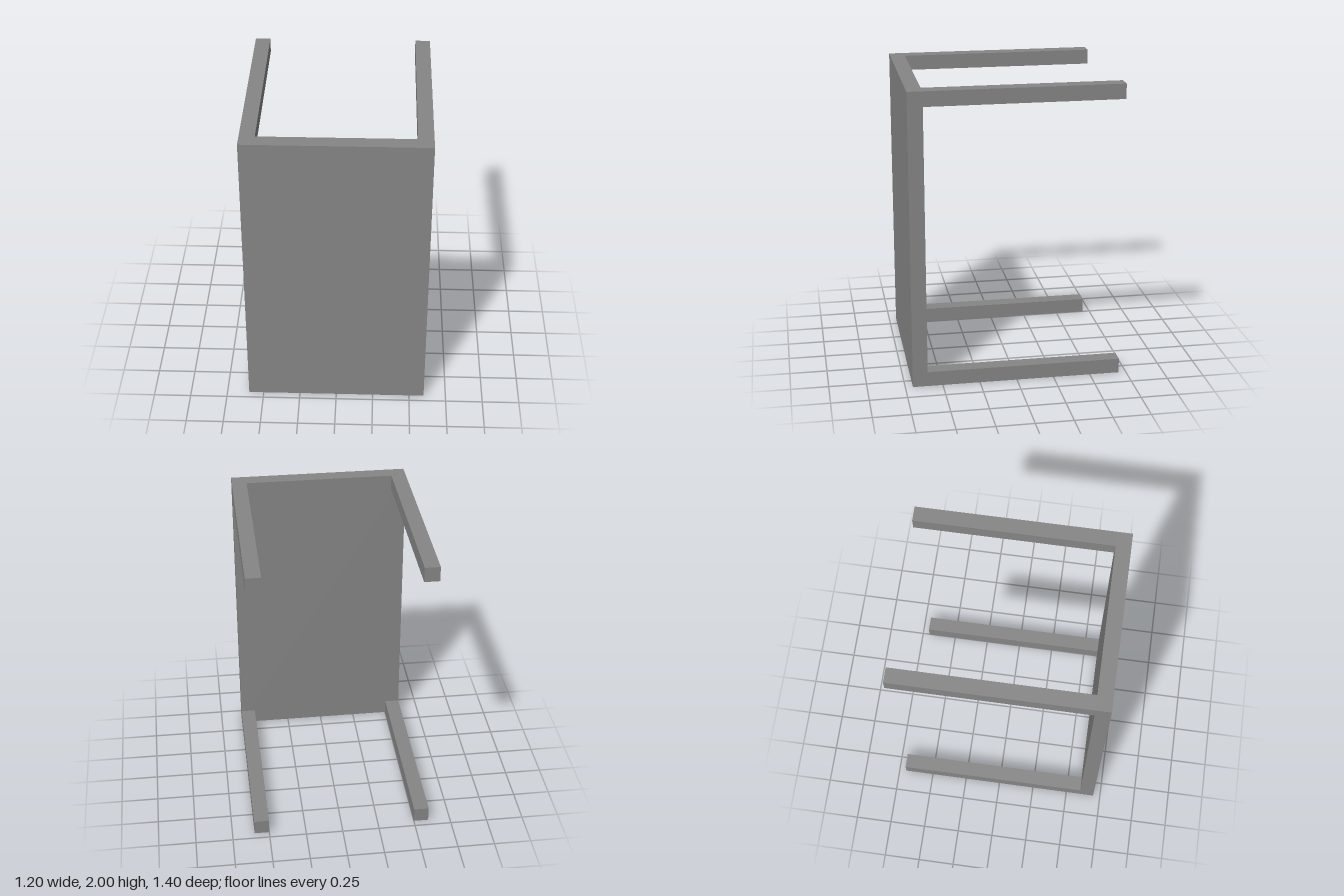
import * as THREE from 'three';

// A plain four-legged table tipped on its side, top facing +z
export function createModel() {
  const group = new THREE.Group();
  group.name = 'table';
  const material = new THREE.MeshStandardMaterial({ color: 0x868686 });

  const width = 1.2, height = 2, depth = 1.4, thick = 0.1;

  function addBox(name, size, position) {
    const mesh = new THREE.Mesh(new THREE.BoxGeometry(...size), material);
    mesh.name = name;
    mesh.position.set(...position);
    group.add(mesh);
  }

  // Upright slab
  addBox('tableTop', [width, height, thick], [0, height / 2, (depth - thick) / 2]);

  // Square legs flush with the four corners, reaching backwards
  const legLength = depth - thick;
  for (const [side, sx] of [['Left', 1], ['Right', -1]]) {
    for (const [level, y] of [['upper', height - thick / 2], ['lower', thick / 2]]) {
      addBox(`${level}${side}Leg`, [thick, thick, legLength],
        [sx * (width - thick) / 2, y, -thick / 2]);
    }
  }

  return group;
}
